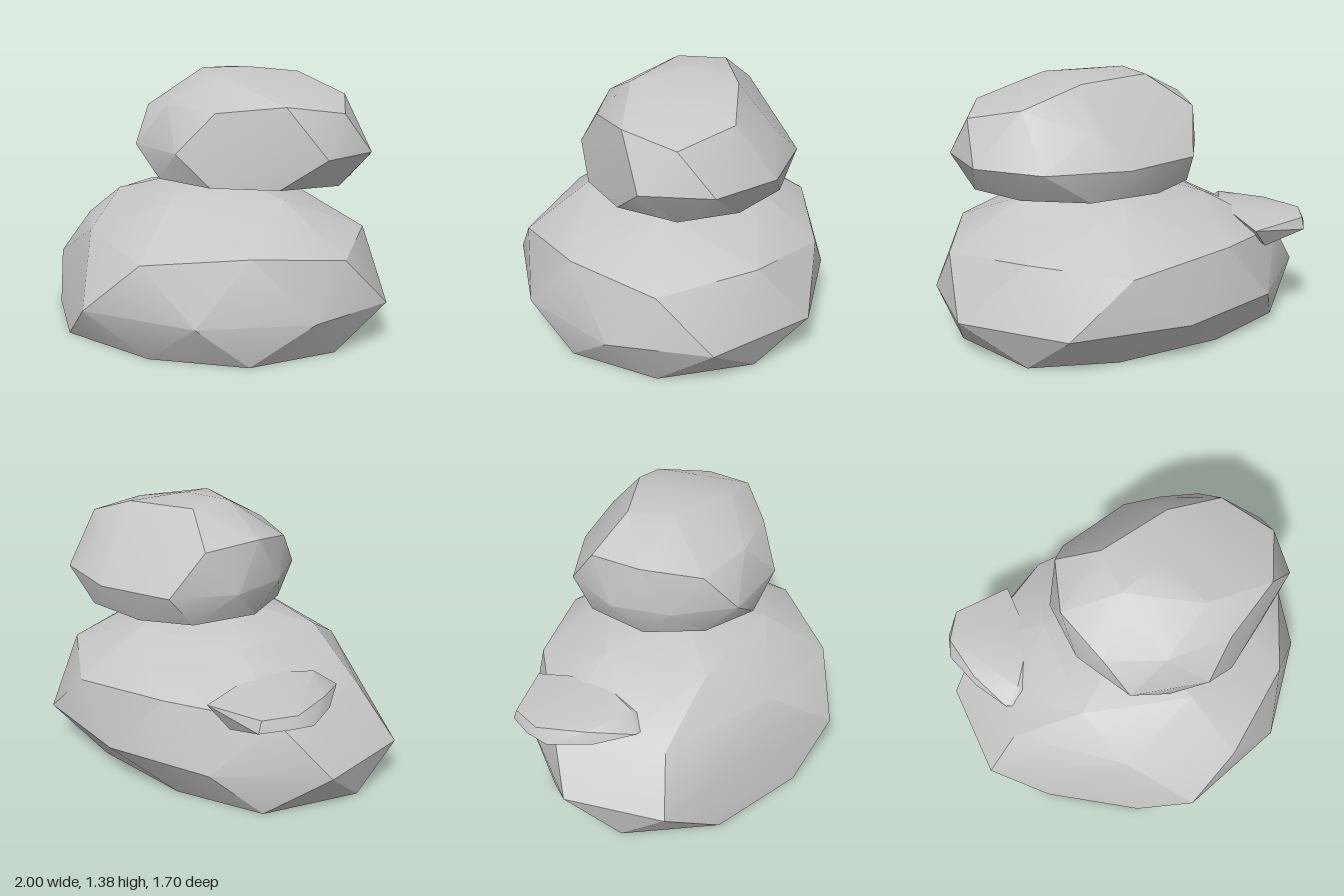
import * as THREE from 'three';
import { ConvexGeometry } from 'three/addons/geometries/ConvexGeometry.js';
import { toCreasedNormals } from 'three/addons/utils/BufferGeometryUtils.js';

const stone = new THREE.MeshStandardMaterial({ color: 0xc6c6c6 });
stone.name = 'stone grey';

// A rock is the convex hull of a few rings of corners, with only sharp ridges creased.
function rock(name, corners, crease) {
  const points = corners.map(([x, y, z]) => new THREE.Vector3(x, y, z));
  const mesh = new THREE.Mesh(toCreasedNormals(new ConvexGeometry(points), crease), stone);
  mesh.name = name;
  return mesh;
}

// Ring of [x, z] corners at one height
const ring = (y, corners) => corners.map(([x, z]) => [x, y, z]);

export function createModel() {
  const group = new THREE.Group();
  group.name = 'stackedRocks';

  // Wide rock on the ground
  group.add(rock('baseRock', [
    ...ring(0, [[-0.28, 0.72], [0.29, 0.68], [0.72, 0.42], [0.89, -0.03], [0.72, -0.5],
      [0.29, -0.65], [-0.28, -0.65], [-0.73, -0.5], [-0.94, -0.03], [-0.73, 0.43]]),
    ...ring(0.22, [[0, 0.85], [0.59, 0.66], [0.95, 0.21], [1, -0.31], [0.61, -0.76],
      [0, -0.85], [-0.56, -0.7], [-1, -0.31], [-0.98, 0.22]]),
    ...ring(0.485, [[0.29, 0.73], [0.94, -0.03], [0.29, -0.79], [-0.77, -0.45], [-0.78, 0.16]]),
    ...ring(0.535, [[0.72, 0.41], [0.71, -0.5], [-0.28, -0.73], [-0.73, -0.03], [-0.28, 0.56]]),
    ...ring(0.725, [[0.55, -0.03], [0.17, 0.41], [0.17, -0.48]]),
    ...ring(0.7, [[-0.4, 0.25], [-0.4, -0.3]]),
    [0, 0.82, -0.03],
  ], 0.44));

  // Smaller rock stacked off centre, with a slanted flat back
  group.add(rock('topRock', [
    ...ring(0.825, [[0.05, 0.37], [0.41, 0.37], [0.69, 0.18], [0.82, -0.12], [0.69, -0.4],
      [0.41, -0.59], [0.05, -0.59], [-0.2, -0.45], [-0.31, -0.12], [-0.2, 0.18]]),
    ...ring(0.98, [[-0.16, 0.34], [0.235, 0.435], [0.885, 0.055], [0.885, -0.3], [0.64, -0.57],
      [0.24, -0.67], [-0.16, -0.57], [-0.35, -0.28], [-0.33, 0.04]]),
    [0.395, 1.185, 0.32], [0.7, 1.225, 0.15], [0.845, 1.185, -0.12],
    [-0.235, 1.17, 0.18], [0.05, 1.2, 0.31], [-0.335, 1.225, -0.12], [-0.25, 1.2, -0.41],
    [0.57, 1.3, -0.12], [0.32, 1.335, 0.16], [-0.04, 1.365, -0.04], [-0.04, 1.36, -0.29],
    [0.35, 1.35, -0.37], [0.66, 1.25, -0.37], [0.4, 1.14, -0.555],
    [0.2, 1.38, -0.12],
  ], 0.5));

  // Flat pebble half sunk into the shoulder of the wide rock
  group.add(rock('sidePebble', [
    [-0.91, 0.585, -0.47], [-0.82, 0.58, -0.62], [-0.5, 0.56, -0.65],
    [-0.5, 0.62, -0.3], [-0.66, 0.6, -0.06], [-0.86, 0.58, -0.22],
    [-0.945, 0.52, -0.4], [-0.91, 0.53, -0.52], [-0.87, 0.515, -0.19],
    [-0.76, 0.54, 0], [-0.71, 0.53, 0.015], [-0.63, 0.56, -0.02], [-0.82, 0.52, -0.64],
    [-0.8, 0.475, -0.3], [-0.8, 0.49, -0.55], [-0.6, 0.45, -0.6],
  ], 0.7));

  return group;
}
